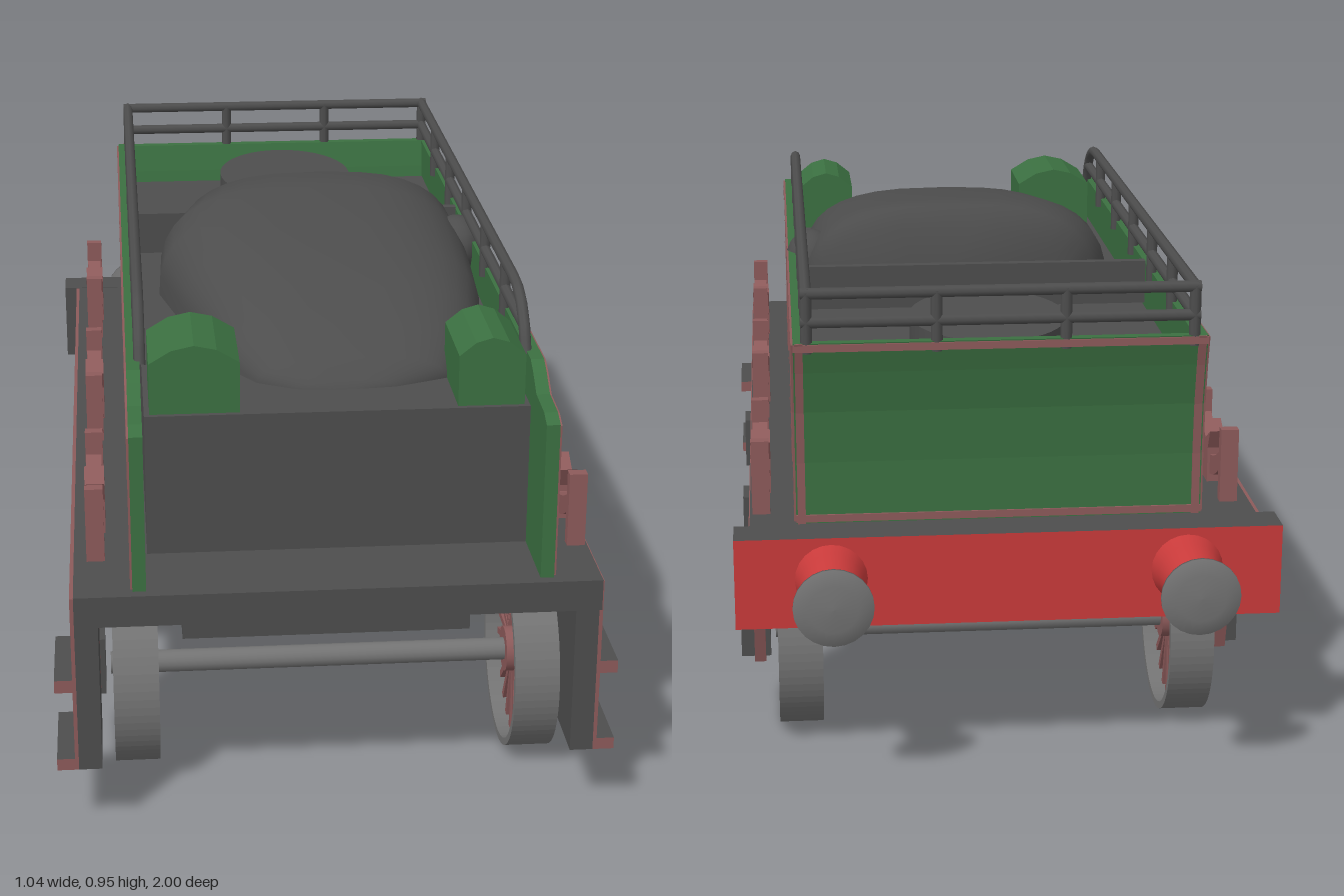
import * as THREE from 'three';

const mat = (name, color, side = THREE.FrontSide) => {
  const m = new THREE.MeshStandardMaterial({ color, side });
  m.name = name;
  return m;
};

export function createModel() {
  const grey = mat('dark grey', 0x4d4d4d);
  const steel = mat('steel grey', 0x737373);
  const green = mat('green', 0x3b7041);
  const rose = mat('dusty rose', 0x8c5a5a);
  const red = mat('red', 0xc83a3a);

  const root = new THREE.Group();
  root.name = 'tender';
  const upper = new THREE.Group();
  upper.name = 'bodyAndRunningGear';
  upper.position.x = 0.012;
  root.add(upper);

  const add = (parent, name, geo, material) => {
    const m = new THREE.Mesh(geo, material);
    m.name = name;
    parent.add(m);
    return m;
  };
  // Box given by its limits on each axis
  const box = (parent, name, material, x0, x1, y0, y1, z0, z1) => {
    const m = add(parent, name, new THREE.BoxGeometry(x1 - x0, y1 - y0, z1 - z0), material);
    m.position.set((x0 + x1) / 2, (y0 + y1) / 2, (z0 + z1) / 2);
    return m;
  };
  // Same box on both sides
  const pair = (parent, name, material, x0, x1, ...r) => {
    box(parent, name + 'Left', material, x0, x1, ...r);
    box(parent, name + 'Right', material, -x1, -x0, ...r);
  };
  const poly = (pts) => new THREE.Shape(pts.map(([a, b]) => new THREE.Vector2(a, b)));
  // Shape drawn in (z, y), extruded from x0 to x1
  const slab = (shape, x0, x1) => new THREE.ExtrudeGeometry(shape, { depth: x1 - x0, bevelEnabled: false, curveSegments: 10 })
    .rotateY(-Math.PI / 2).translate(x1, 0, 0);
  const slabPair = (parent, name, material, shape, x0, x1, z = 0) => {
    add(parent, name + 'Left', slab(shape, x0, x1), material).position.z = z;
    add(parent, name + 'Right', slab(shape, -x1, -x0), material).position.z = z;
  };

  // ---- Frame ----
  box(root, 'deck', grey, -0.48, 0.485, 0.42, 0.48, -0.78, 1);
  box(root, 'underframe', grey, -0.28, 0.27, 0.3, 0.42, -0.78, 0.82);
  pair(root, 'innerBeam', rose, 0.28, 0.437, 0.37, 0.42, -0.78, 0.84);
  pair(root, 'frameBacking', grey, 0.437, 0.48, 0.375, 0.42, -0.78, 1);
  pair(root, 'framePlate', rose, 0.48, 0.487, 0.375, 0.479, -0.78, 1);
  pair(root, 'stepBracket', grey, 0.437, 0.48, 0.13, 0.375, 0.82, 1);
  pair(root, 'stepPlate', rose, 0.48, 0.487, 0.13, 0.375, 0.82, 1);
  for (const [y0, y1] of [[0.29, 0.315], [0.13, 0.153]]) {
    pair(root, 'step', [grey, grey, grey, grey, rose, rose], 0.487, 0.52, y0, y1, 0.82, 1);
  }
  box(root, 'bufferBeam', [rose, rose, grey, red, grey, red], -0.515, 0.515, 0.305, 0.481, -0.84, -0.76);

  // ---- Buffers ----
  for (const x of [-0.335, 0.335]) {
    const profile = (pts) => new THREE.LatheGeometry(pts.map(([r, y]) => new THREE.Vector2(r, y)), 24).rotateX(-Math.PI / 2);
    add(root, 'bufferHousing', profile([[0.068, 0], [0.06, 0.03], [0.042, 0.115], [0, 0.115]]), red).position.set(x, 0.4, -0.84);
    add(root, 'bufferHead', profile([[0.018, 0], [0.018, 0.035], [0.074, 0.044], [0.074, 0.05], [0.045, 0.058], [0, 0.06]]), steel)
      .position.set(x, 0.4, -0.94);
  }

  // ---- Wheels, axles, axle boxes and springs ----
  const R = 0.19;
  const ring = new THREE.Shape().absarc(0, 0, R, 0, Math.PI * 2);
  ring.holes.push(new THREE.Path().absarc(0, 0, R - 0.014, 0, Math.PI * 2, true));
  const tyreGeo = new THREE.ExtrudeGeometry(ring, { depth: 0.086, bevelEnabled: false, curveSegments: 36 })
    .rotateY(Math.PI / 2).translate(-0.043, 0, 0);
  const spokeGeo = new THREE.BoxGeometry(0.035, 0.15, 0.013).translate(0, 0.105, 0);
  const hubGeo = new THREE.CylinderGeometry(0.045, 0.045, 0.07, 20).rotateZ(Math.PI / 2);

  const guard = poly([[-0.125, 0.38], [0.125, 0.38], [0.06, 0.14], [-0.06, 0.14]]);
  for (const s of [-1, 1]) {
    guard.holes.push(poly([[s * 0.092, 0.365], [s * 0.062, 0.365], [s * 0.055, 0.22]]));
  }
  guard.holes.push(poly([[-0.03, 0.365], [0.03, 0.365], [0.03, 0.27], [-0.03, 0.27]]));

  const leaf = new THREE.Shape();
  leaf.moveTo(-0.145, 0.59);
  leaf.quadraticCurveTo(0, 0.48, 0.145, 0.59);
  leaf.lineTo(0.145, 0.555);
  leaf.quadraticCurveTo(0, 0.435, -0.145, 0.555);
  const buckle = poly([[-0.025, 0.48], [0.025, 0.48], [0.025, 0.55], [0.045, 0.59], [0, 0.565], [-0.045, 0.59], [-0.025, 0.55]]);

  for (const z of [0.695, 0.1, -0.54]) {
    const set = new THREE.Group();
    set.name = 'wheelset';
    set.position.z = z;
    upper.add(set);
    add(set, 'axle', new THREE.CylinderGeometry(0.022, 0.022, 0.86, 16).rotateZ(Math.PI / 2), steel).position.y = R;
    for (const s of [-1, 1]) {
      const wheel = new THREE.Group();
      wheel.name = 'wheel';
      wheel.position.set(s * 0.382, R, 0);
      set.add(wheel);
      add(wheel, 'tyre', tyreGeo, steel);
      add(wheel, 'hub', hubGeo, rose);
      for (let i = 0; i < 24; i++) add(wheel, 'spoke', spokeGeo, rose).rotation.x = (i * Math.PI) / 12;
    }
    slabPair(set, 'axleGuard', rose, guard, 0.45, 0.472);
    pair(set, 'axleBox', grey, 0.44, 0.498, 0.145, 0.262, -0.042, 0.042);
    slabPair(set, 'leafSpring', rose, leaf, 0.437, 0.467);
    slabPair(set, 'springBuckle', rose, buckle, 0.432, 0.47);
    for (const e of [-0.14, 0.14]) pair(set, 'springHanger', rose, 0.434, 0.468, 0.47, 0.625, e - 0.011, e + 0.011);
  }

  // ---- Tank body ----
  box(upper, 'tank', grey, -0.355, 0.36, 0.48, 0.755, -0.745, 0.82);
  // Curve of the flared rear sheet, d moves it inwards
  const rear = (d) => [[-0.75, 0.48 + d], [-0.75, 0.6], [-0.757, 0.7], [-0.772, 0.78], [-0.787, 0.84 - d]].map(([z, y]) => [z + d, y]);
  const outline = (d) => [...rear(d), [0.8 - d, 0.84 - d], [0.83 - d, 0.825 - d], [0.87 - d, 0.797 - d],
    [0.95 - d, 0.793 - d], [0.98 - d, 0.78 - d], [0.98 - d, 0.48 + d]];
  const X = 0.385;
  slabPair(upper, 'sideSheet', green, poly(outline(0)), X - 0.025, X);
  const border = poly(outline(0.003));
  border.holes.push(poly(outline(0.016)));
  slabPair(upper, 'sideLining', rose, border, X, X + 0.004);
  for (const z of [0.52, 0.475, -0.355, -0.39]) {
    pair(upper, 'liningBand', rose, X, X + 0.004, 0.49, 0.83, z - 0.007, z + 0.007);
  }
  const rearStrip = (t0, t1) => poly([...rear(0).map(([z, y]) => [z - t0, y]), ...rear(0).reverse().map(([z, y]) => [z - t1, y])]);
  add(upper, 'rearSheet', slab(rearStrip(0, -0.02), -X + 0.025, X - 0.025), green);
  slabPair(upper, 'rearLining', rose, rearStrip(0.004, 0), X - 0.018, X - 0.003);
  box(upper, 'rearTopLining', rose, -X, X, 0.824, 0.838, -0.79, -0.782);
  box(upper, 'rearBottomLining', rose, -X, X, 0.483, 0.497, -0.754, -0.748);
  box(upper, 'bulkhead', grey, -0.36, 0.36, 0.755, 0.845, -0.19, -0.17);
  const filler = add(upper, 'fillerDrum', new THREE.CylinderGeometry(1, 1, 0.075, 40), grey);
  filler.scale.set(0.152, 1, 0.205);
  filler.position.set(0.005, 0.79, -0.545);

  // ---- Toolboxes with rounded lids ----
  for (const [name, x0, x1] of [['toolboxRight', -0.345, -0.178], ['toolboxLeft', 0.226, 0.35]]) {
    const at = (t) => x0 + (x1 - x0) * t;
    const shape = poly([[x0, 0.755], [x1, 0.755], [x1, 0.853], [at(0.75), 0.878], [at(0.5), 0.887], [at(0.25), 0.878], [x0, 0.853]]);
    add(upper, name, new THREE.ExtrudeGeometry(shape, { depth: 0.19, bevelEnabled: false }), green).position.z = 0.62;
  }

  // ---- Coal load: z, left x, right x, top y ----
  const sections = [[-0.165, 0.1, 0.12, 0.76], [-0.16, -0.2, 0.34, 0.92], [-0.1, -0.27, 0.35, 0.953], [0, -0.305, 0.355, 0.948],
    [0.12, -0.31, 0.355, 0.935], [0.3, -0.27, 0.345, 0.912], [0.45, -0.225, 0.32, 0.88], [0.58, -0.19, 0.28, 0.84],
    [0.66, -0.14, 0.23, 0.8], [0.7, -0.07, 0.13, 0.77], [0.71, 0, 0.05, 0.75]];
  const N = 18, pos = [], idx = [];
  const pw = (v, e) => Math.sign(v) * Math.abs(v) ** e;
  sections.forEach(([z, l, r, top], i) => {
    for (let j = 0; j <= N; j++) {
      const a = (Math.PI * j) / N;
      pos.push((l + r) / 2 + ((r - l) / 2) * pw(Math.cos(a), 0.7), 0.74 + (top - 0.74) * pw(Math.max(0, Math.sin(a)), 0.7), z);
      if (i < sections.length - 1 && j < N) {
        const p = i * (N + 1) + j, q = p + N + 1;
        idx.push(p, p + 1, q, p + 1, q + 1, q);
      }
    }
  });
  const coal = new THREE.BufferGeometry();
  coal.setAttribute('position', new THREE.Float32BufferAttribute(pos, 3));
  coal.setIndex(idx);
  coal.computeVertexNormals();
  add(upper, 'coalLoad', coal, grey);
  const lump = add(upper, 'coalLump', new THREE.SphereGeometry(1, 14, 10), grey);
  lump.scale.set(0.055, 0.06, 0.075);
  lump.position.set(0.335, 0.82, 0.015);

  // ---- Handrails ----
  const bar = (name, pts) => {
    const path = new THREE.CurvePath();
    const v = pts.map((p) => new THREE.Vector3(...p));
    for (let i = 1; i < v.length; i++) path.add(new THREE.LineCurve3(v[i - 1], v[i]));
    add(upper, name, new THREE.TubeGeometry(path, pts.length > 2 ? 60 : 1, 0.011, 8), grey);
  };
  const H = 0.36;
  for (const x of [-H, H]) {
    bar('topRail', [[x, 0.83, 0.75], [x, 0.875, 0.725], [x, 0.908, 0.69], [x, 0.928, 0.64], [x, 0.932, 0.59], [x, 0.932, -0.785]]);
    bar('lowerRail', [[x, 0.878, 0.72], [x, 0.878, -0.785]]);
    for (const z of [0.5, 0.245, -0.015, -0.27, -0.52, -0.778]) bar('railPost', [[x, 0.82, z], [x, 0.935, z]]);
  }
  for (const y of [0.878, 0.932]) bar('rearRail', [[-H - 0.01, y, -0.778], [H + 0.01, y, -0.778]]);
  for (const x of [-0.12, 0.12]) bar('rearRailPost', [[x, 0.82, -0.778], [x, 0.935, -0.778]]);

  return root;
}
